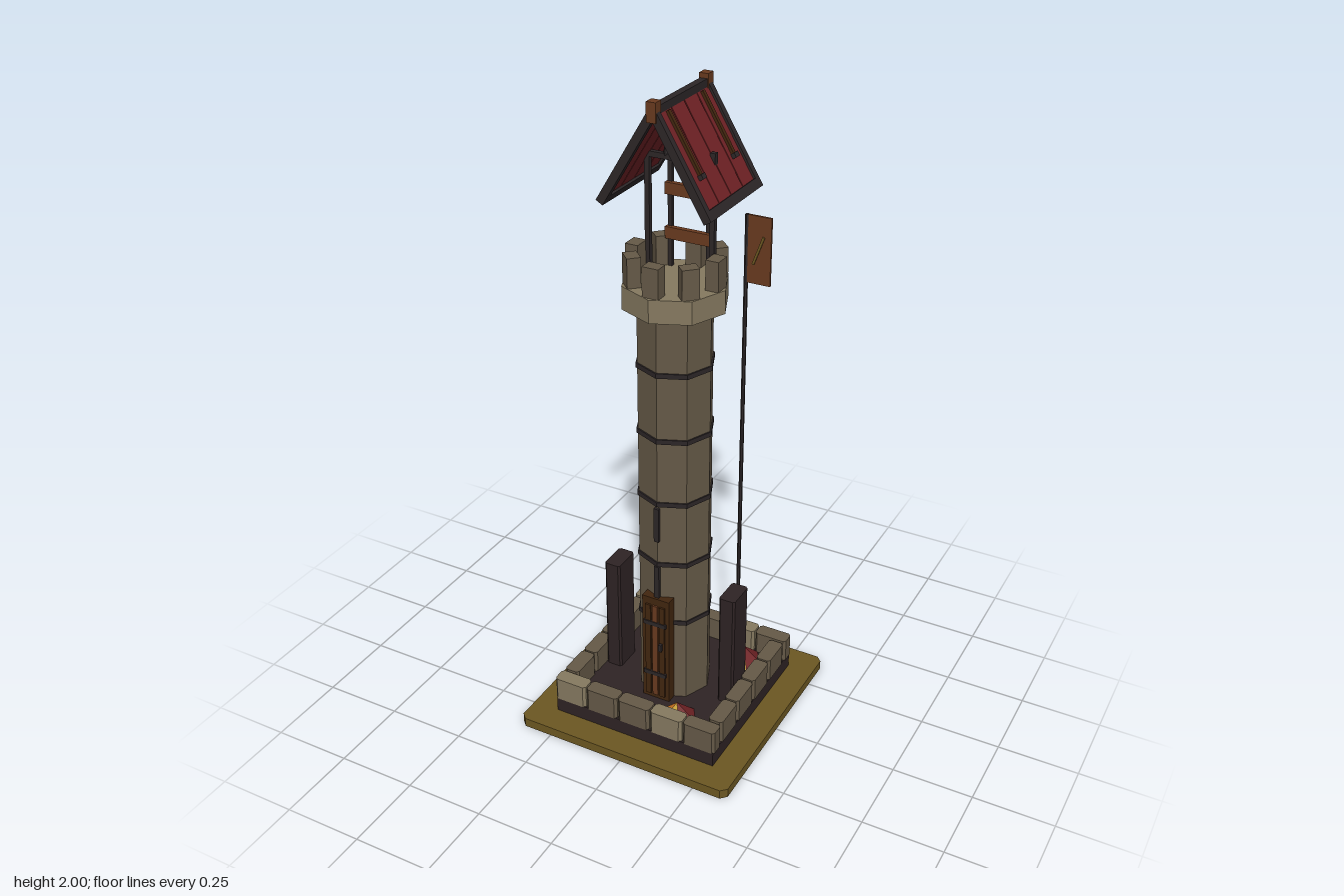
import * as THREE from 'three';

const mat = (name, color) => Object.assign(new THREE.MeshStandardMaterial({ color, flatShading: true }), { name });

export function createModel() {
  const M = {
    ground: mat('olive ground', 0x6c5722),
    plinth: mat('dark earth', 0x2e2324),
    trim: mat('dark trim', 0x2c2627),
    stone: mat('stone', 0x655947),
    light: mat('light stone', 0x857960),
    red: mat('red roof', 0x702225),
    wood: mat('brown wood', 0x693a1f),
    darkWood: mat('dark wood', 0x42260f),
    gold: mat('gold leaf', 0xc49a24),
    orange: mat('orange leaf', 0xcf7622),
  };
  const root = new THREE.Group();
  root.name = 'watchtower';

  const add = (name, geo, material, x, y, z, parent = root) => {
    const m = new THREE.Mesh(geo, material);
    m.name = name;
    m.position.set(x, y, z);
    parent.add(m);
    return m;
  };
  const box = (name, material, w, h, d, x, y, z, parent) =>
    add(name, new THREE.BoxGeometry(w, h, d), material, x, y, z, parent);
  const group = (name, parent = root) => {
    const g = new THREE.Group();
    g.name = name;
    parent.add(g);
    return g;
  };
  // Upright block with chamfered vertical corners, standing on y
  const slab = (name, material, w, h, d, c, x, y, z, parent) => {
    const a = w / 2, b = d / 2;
    const s = new THREE.Shape([
      [-a + c, -b], [a - c, -b], [a, -b + c], [a, b - c],
      [a - c, b], [-a + c, b], [-a, b - c], [-a, -b + c],
    ].map((p) => new THREE.Vector2(...p)));
    const geo = new THREE.ExtrudeGeometry(s, { depth: h, bevelEnabled: false });
    geo.rotateX(-Math.PI / 2);
    return add(name, geo, material, x, y, z, parent);
  };

  // Ground and plinth
  slab('ground', M.ground, 0.72, 0.03, 0.72, 0.018, 0, 0, 0);
  box('plinth', M.plinth, 0.55, 0.05, 0.55, 0, 0.055, 0);

  // Low stone wall
  const wall = group('stoneWall');
  for (const s of [-1, 1]) {
    for (let i = 0; i < 5; i++)
      slab('wallBlock', i % 3 === 0 ? M.light : M.stone, 0.108, 0.077, 0.048, 0.008,
        (i - 2) * 0.1125, 0.078, s * 0.253, wall);
    for (let i = 0; i < 4; i++)
      slab('wallBlock', M.stone, 0.048, 0.077, 0.106, 0.008,
        s * 0.253, 0.078, (i - 1.5) * 0.1115, wall);
    slab('sidePillar', M.plinth, 0.053, 0.39, 0.094, 0.006, s * 0.2, 0.08, 0);
  }

  // Eight-sided shaft with iron bands
  add('shaft', new THREE.CylinderGeometry(0.113, 0.114, 1.32, 8), M.stone, 0, 0.74, 0);
  for (let i = 0; i < 5; i++)
    add('band', new THREE.CylinderGeometry(0.118, 0.118, 0.015, 8), M.trim, 0, 0.367 + i * 0.212, 0);

  // Crown and merlons
  add('crown', new THREE.CylinderGeometry(0.155, 0.155, 0.07, 8), M.light, 0, 1.427, 0);
  for (let i = 0; i < 8; i++) {
    const a = i * Math.PI / 4;
    const m = box('merlon', M.stone, 0.05, 0.09, 0.04, Math.sin(a) * 0.125, 1.506, Math.cos(a) * 0.125);
    m.rotation.y = a;
  }

  // Door and arrow slits
  const door = group('door');
  box('doorFrame', M.darkWood, 0.092, 0.38, 0.04, 0, 0.27, 0.108, door);
  for (let i = -1; i <= 1; i++)
    box('doorPlank', i ? M.darkWood : M.wood, 0.018, 0.34, 0.006, i * 0.024, 0.265, 0.131, door);
  for (const y of [0.18, 0.37]) box('doorHinge', M.trim, 0.076, 0.014, 0.008, 0, y, 0.133, door);
  box('doorHandle', M.trim, 0.01, 0.025, 0.012, 0.022, 0.29, 0.138, door);
  for (const y of [0.515, 0.72]) box('arrowSlit', M.trim, 0.016, 0.115, 0.02, 0, y, 0.111);

  // Signal pole with board
  const pole = group('pole');
  add('poleShaft', new THREE.CylinderGeometry(0.006, 0.006, 1.57, 6), M.trim, 0.165, 0.865, -0.105, pole);
  box('board', M.wood, 0.07, 0.2, 0.007, 0.205, 1.55, -0.105, pole);
  const stripe = box('boardStripe', M.ground, 0.007, 0.09, 0.014, 0.203, 1.55, -0.105, pole);
  stripe.rotation.z = -0.35;

  // Roof supports, rack and spears
  const zc = -0.028;
  const frame = group('roofFrame');
  for (const s of [-1, 1]) {
    box('roofPost', M.trim, 0.015, 0.38, 0.015, s * 0.1, 1.645, zc, frame);
    box('rackPost', M.trim, 0.013, 0.32, 0.013, s * 0.06, 1.615, -0.085, frame);
  }
  box('crossBeam', M.trim, 0.215, 0.016, 0.016, 0, 1.803, zc, frame);
  for (const y of [1.565, 1.695]) box('rackBoard', M.wood, 0.14, 0.035, 0.016, 0, y, -0.075, frame);
  for (let i = -1; i <= 1; i++)
    add('spearTip', new THREE.ConeGeometry(0.011, 0.055, 4), M.trim, i * 0.042, 1.835, zc, frame);

  // Gabled roof: each slope is built along local x, from ridge to eave
  const roof = group('roof');
  roof.position.set(0, 1.972, zc);
  for (const s of [1, -1]) {
    const side = group('roofSide', roof);
    side.rotation.y = s > 0 ? 0 : Math.PI;
    const slope = group('slope', side);
    slope.rotation.z = -Math.atan2(0.27, 0.162);
    for (let i = 0; i < 4; i++)
      box('roofPlank', M.red, 0.285, 0.01, 0.067, 0.155, 0, (i - 1.5) * 0.0705, slope);
    for (const z of [-1, 1]) {
      box('gableBeam', M.trim, 0.316, 0.024, 0.02, 0.158, 0, z * 0.146, slope);
      box('strap', M.darkWood, 0.19, 0.008, 0.013, 0.11, 0.009, z * 0.096, slope);
      box('strapEnd', M.trim, 0.014, 0.014, 0.021, 0.205, 0.011, z * 0.096, slope);
    }
    box('eaveBeam', M.trim, 0.028, 0.024, 0.31, 0.302, 0, 0, slope);
  }
  box('ridgeBeam', M.trim, 0.022, 0.024, 0.31, 0, 0.002, 0, roof);
  for (const z of [-1, 1]) box('finial', M.wood, 0.028, 0.055, 0.03, 0, 0.0005, z * 0.146, roof);

  // Faceted leaf heaps, one colour per face
  const heap = (x, z, start, faces) => {
    const geo = new THREE.ConeGeometry(0.064, 0.055, 6, 1, false, start).toNonIndexed();
    geo.clearGroups();
    const tris = geo.attributes.position.count / 3;
    for (let i = 0; i < tris; i++) geo.addGroup(i * 3, 3, i < 6 ? faces[i] : 0);
    add('leafHeap', geo, [M.gold, M.orange, M.red], x, 0.106, z);
  };
  heap(0.1, 0.175, -0.52, [0, 2, 2, 0, 0, 1]);
  heap(0.155, -0.175, -0.4, [0, 2, 2, 1, 1, 0]);
  heap(-0.13, -0.17, -0.3, [1, 1, 2, 2, 1, 1]);

  return root;
}
